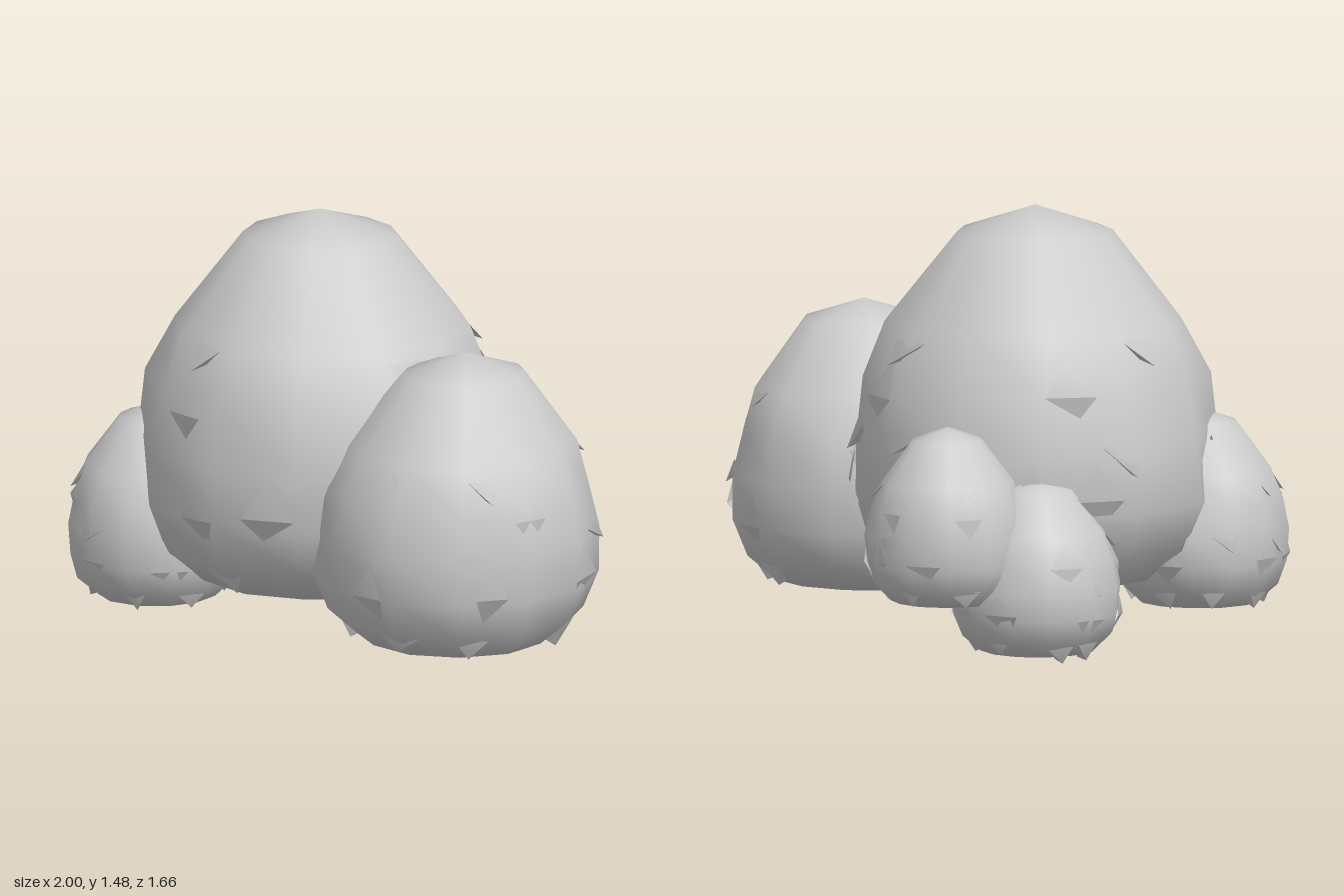
import * as THREE from 'three';
import { mergeGeometries, mergeVertices } from 'three/addons/utils/BufferGeometryUtils.js';

// Shared dome profile: [radius, height], both relative to the lobe
const PROFILE = [[0, 0], [0.68, 0], [0.89, 0.09], [0.99, 0.22], [1, 0.38],
  [0.94, 0.54], [0.81, 0.69], [0.43, 0.93], [0, 1]];

function seeded(seed) {
  return () => {
    seed = (seed * 16807) % 2147483647;
    return seed / 2147483647;
  };
}

function radiusAt(t) {
  for (let i = 2; i < PROFILE.length; i++) {
    const [r0, t0] = PROFILE[i - 1], [r1, t1] = PROFILE[i];
    if (t <= t1) return r0 + (r1 - r0) * Math.max(0, (t - t0) / (t1 - t0));
  }
  return 0;
}

// Rounded foliage dome with slightly uneven vertices
function domeGeometry(radius, height, rand) {
  const points = PROFILE.map(([r, t]) => new THREE.Vector2(r * radius, t * height));
  let geo = new THREE.LatheGeometry(points, 12, Math.PI * 2 * rand());
  geo.deleteAttribute('uv');
  geo.deleteAttribute('normal');
  geo = mergeVertices(geo, 1e-4);
  const pos = geo.attributes.position;
  for (let i = 0; i < pos.count; i++) {
    const k = 0.985 + rand() * 0.05;
    pos.setX(i, pos.getX(i) * k);
    pos.setZ(i, pos.getZ(i) * k);
  }
  geo.computeVertexNormals();
  return geo.toNonIndexed();
}

// Leaf tufts: hanging lips that blend into the dome, and ridges with a shaded underside
function tuftGeometry(radius, height, rand) {
  const verts = [], normals = [];
  const at = (angle, t, k) => {
    const r = radiusAt(t) * radius * k;
    return new THREE.Vector3(r * Math.sin(angle), t * height, r * Math.cos(angle));
  };
  const face = (a, b, c, blend) => {
    const flat = new THREE.Triangle(a, b, c).getNormal(new THREE.Vector3());
    for (const p of [a, b, c]) {
      const n = blend
        ? new THREE.Vector3(p.x / radius, (p.y / height - 0.35) * 1.2, p.z / radius).normalize()
        : flat;
      verts.push(...p.toArray());
      normals.push(...n.toArray());
    }
  };
  const size = 0.03 + radius * 0.09;
  // [height, count, outward lift, is a ridge]
  const rows = [[0.08, 7, 1.1, false], [0.24, 7, 1.04, true], [0.4, 5, 1.05, false],
    [0.52, 3, 1.04, true], [0.68, 4, 1.06, false]];
  for (const [level, count, lift, ridge] of rows) {
    const offset = rand() * 6;
    for (let i = 0; i < count; i++) {
      const a = offset + ((i + rand() * 0.7) / count) * Math.PI * 2;
      const t = level + (rand() - 0.5) * 0.05;
      const half = (size * (0.7 + rand() * 0.5)) / radius;
      const low = t - (size * (0.8 + rand() * 0.5)) / height;
      const k = ridge ? lift : 0.99;
      const L = at(a - half, t, k), R = at(a + half, t, k);
      const tip = at(a + (rand() - 0.5) * half, low, ridge ? 0.98 : lift);
      if (ridge) {
        const top = at(a, t + size * 1.5 / height, 0.99);
        face(top, L, R, true);
        face(L, tip, R, false);
      } else {
        const under = at(a, low + 0.02, 0.95);
        face(L, tip, R, true);
        face(tip, L, under, false);
        face(R, tip, under, false);
      }
    }
  }
  const geo = new THREE.BufferGeometry();
  geo.setAttribute('position', new THREE.Float32BufferAttribute(verts, 3));
  geo.setAttribute('normal', new THREE.Float32BufferAttribute(normals, 3));
  return geo;
}

// Shift the crown along z while the base stays in place
function leanCrown(geo, height, lean) {
  const pos = geo.attributes.position;
  for (let i = 0; i < pos.count; i++) {
    pos.setZ(i, pos.getZ(i) + lean * Math.max(0, pos.getY(i) / height) ** 3);
  }
  return geo;
}

export function createModel() {
  const group = new THREE.Group();
  group.name = 'bush';
  const material = new THREE.MeshStandardMaterial({ color: 0xcccccc, side: THREE.DoubleSide });

  // name, x, z, bottom, top, radius, crown lean
  const lobes = [
    ['mainFoliage', -0.19, 0.16, 0.2, 1.48, 0.625, 0],
    ['leftFoliage', 0.5, 0.33, 0.12, 1.1, 0.485, -0.07],
    ['rightFoliage', -0.685, 0.43, 0.1, 0.77, 0.305, 0],
    ['backFoliage', -0.17, -0.54, 0.2, 0.8, 0.278, 0.01],
    ['lowerBackFoliage', -0.43, -0.36, 0.02, 0.62, 0.287, 0],
  ];
  lobes.forEach(([name, x, z, bottom, top, radius, lean], i) => {
    const rand = seeded(1234567 + i * 77731);
    const height = top - bottom;
    const geo = mergeGeometries([
      domeGeometry(radius, height, rand),
      tuftGeometry(radius, height, rand),
    ]);
    const mesh = new THREE.Mesh(leanCrown(geo, height, lean), material);
    mesh.name = name;
    mesh.position.set(x, bottom, z);
    group.add(mesh);
  });
  return group;
}
